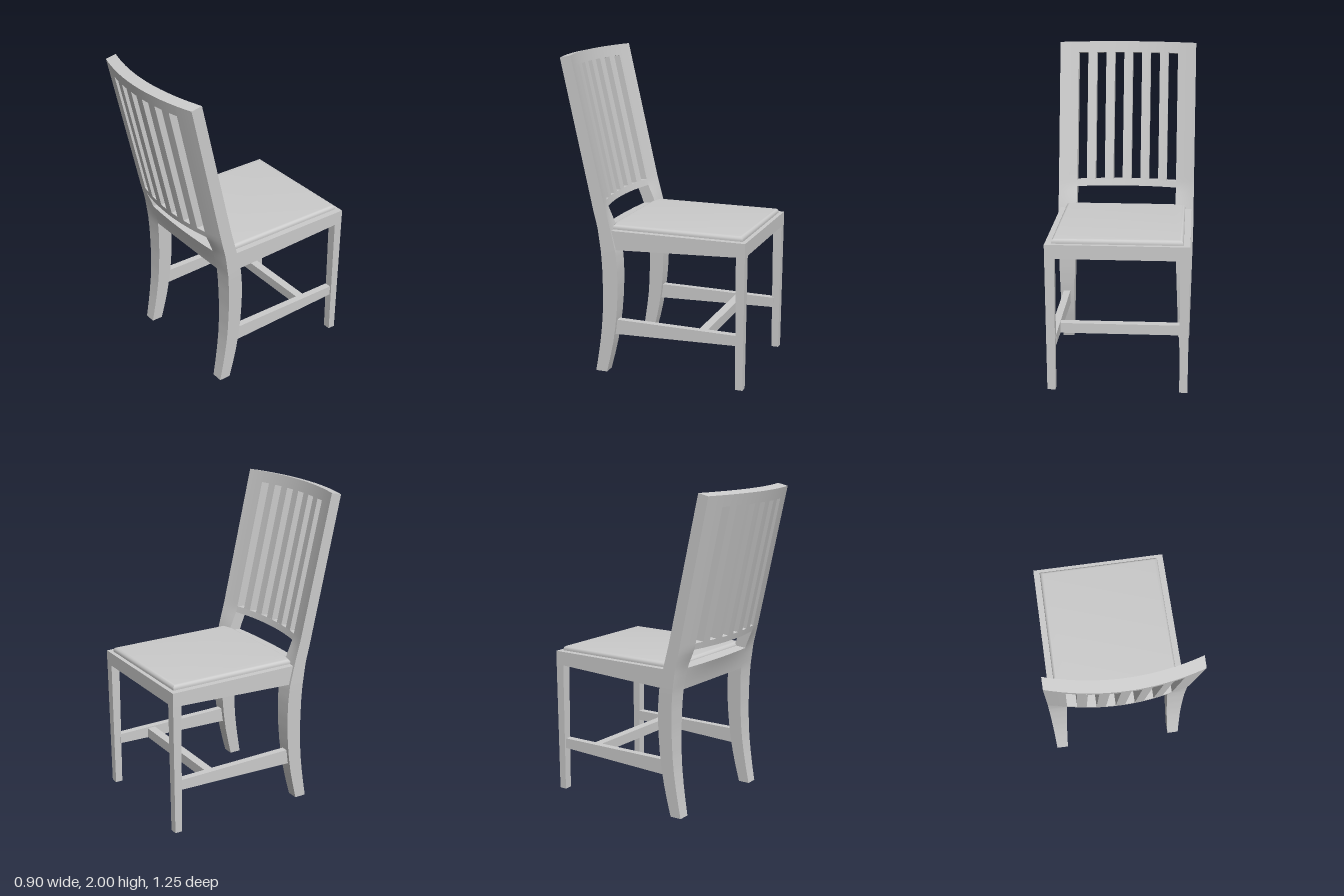
import * as THREE from 'three';
import { toCreasedNormals } from 'three/addons/utils/BufferGeometryUtils.js';

const material = new THREE.MeshStandardMaterial({ color: 0xcccccc });
const lerp = THREE.MathUtils.lerp;

// Side profile of the back at its outer edge: [y, z]
const INNER_FACE = [[0, 0.28], [0.1, 0.255], [0.2, 0.233], [0.3, 0.217], [0.4, 0.205], [0.5, 0.198], [0.6, 0.195],
  [0.7, 0.197], [0.8, 0.206], [0.95, 0.24], [1.1, 0.28], [2, 0.485]];
const OUTER_FACE = [[0, 0.355], [0.1, 0.337], [0.2, 0.321], [0.3, 0.308], [0.4, 0.3], [0.55, 0.295], [0.7, 0.297],
  [0.8, 0.303], [0.95, 0.323], [1.06, 0.35], [2, 0.555]];

function sample(profile, y) {
  let i = 1;
  while (i < profile.length - 1 && y > profile[i][0]) i++;
  const [y0, z0] = profile[i - 1], [y1, z1] = profile[i];
  return lerp(z0, z1, (y - y0) / (y1 - y0));
}

// Outward bow of the back, fading out below the seat
function bow(x, y) {
  const t = THREE.MathUtils.clamp((y - 0.75) / 0.31, 0, 1);
  return 0.07 * t * t * (1 - (x / 0.45) ** 2);
}

// Unit box whose vertices are moved by rule(u, v, w) -> [x, y, z]
function mappedBox(nx, ny, rule) {
  const geometry = new THREE.BoxGeometry(1, 1, 1, nx, ny, 1);
  const p = geometry.attributes.position;
  for (let i = 0; i < p.count; i++) {
    p.setXYZ(i, ...rule(p.getX(i) + 0.5, p.getY(i) + 0.5, p.getZ(i) + 0.5));
  }
  geometry.computeVertexNormals();
  return geometry;
}

// Piece of the bowed back between two heights; xRange(y) gives its sides
function backPiece(y0, y1, nx, ny, xRange) {
  return mappedBox(nx, ny, (u, v, w) => {
    const y = lerp(y0, y1, v);
    const [x0, x1] = xRange(y);
    const x = lerp(x0, x1, u);
    const z = lerp(sample(INNER_FACE, y), sample(OUTER_FACE, y), w) + bow(x, y);
    return [x, y - 0.0075 * w * y, z];
  });
}

// Straight bar along z with different heights at its two ends
function taperedBar(x0, x1, z0, z1, front, back) {
  return mappedBox(1, 1, (u, v, w) => [
    lerp(x0, x1, u),
    lerp(lerp(front[0], back[0], w), lerp(front[1], back[1], w), v),
    lerp(z0, z1, w),
  ]);
}

export function createModel() {
  const chair = new THREE.Group();
  chair.name = 'chair';
  const add = (name, geometry) => {
    const mesh = new THREE.Mesh(geometry, material);
    mesh.name = name;
    chair.add(mesh);
    return mesh;
  };

  for (const side of [1, -1]) {
    const prefix = side > 0 ? 'left' : 'right';
    const range = (a, b) => (side > 0 ? [a, b] : [-b, -a]);

    // Curved rear leg running up into the back post
    add(prefix + 'BackPost', backPiece(0, 2, 4, 60, (y) => {
      const t = Math.min(y / 0.8, 1);
      return range(lerp(0.36, 0.33, t), lerp(0.435, 0.45, t));
    }));

    // Slightly tapered leg at the open end of the seat
    const [lx0, lx1] = range(0.375, 0.435);
    add(prefix + 'FrontLeg', mappedBox(1, 1, (u, v, w) => {
      const inset = lerp(0.005, 0, v);
      return [
        lerp(lx0 + inset, lx1 - inset, u),
        lerp(0, 0.92, v),
        lerp(-0.625 + inset, -0.568 - inset, w),
      ];
    }));

    // Side stretcher
    add(prefix + 'SideStretcher',
      taperedBar(...range(0.375, 0.42), -0.58, 0.25, [0.28, 0.345], [0.255, 0.352]));
  }

  // Rails of the back
  const span = () => [-0.33, 0.33];
  add('topRail', backPiece(1.93, 2, 20, 1, span));
  add('slatRail', backPiece(1.06, 1.1, 20, 1, span));
  add('seatBackRail', backPiece(0.8, 0.94, 20, 6, span));

  // Upright slats
  for (let i = -2; i <= 2; i++) {
    const x = i * 0.1195;
    add('slat' + (i + 3), backPiece(1.1, 1.93, 3, 4, () => [x - 0.029, x + 0.029]));
  }

  // Seat frame, deeper toward the back
  add('seatFrame', taperedBar(-0.435, 0.435, -0.625, 0.25, [0.843, 0.93], [0.808, 0.93]));

  // Cross stretcher joining the side stretchers
  const cross = add('crossStretcher', new THREE.BoxGeometry(0.76, 0.065, 0.055));
  cross.position.set(0, 0.308, -0.345);

  // Padded seat with soft edges and corners clipped at the posts
  const bevel = 0.022;
  const outline = new THREE.Shape([
    [-0.395, 0.598], [-0.395, -0.25], [-0.33, -0.268], [0.33, -0.268], [0.395, -0.25], [0.395, 0.598],
  ].map(([x, y]) => new THREE.Vector2(x - Math.sign(x) * bevel, y - Math.sign(y) * bevel)));
  const pad = new THREE.ExtrudeGeometry(outline, {
    depth: 0.02, bevelThickness: bevel, bevelSize: bevel, bevelSegments: 6,
  });
  pad.rotateX(-Math.PI / 2);
  const cushion = add('seatCushion', toCreasedNormals(pad, 0.6));
  cushion.position.y = 0.96 - 0.02 - bevel;

  return chair;
}
